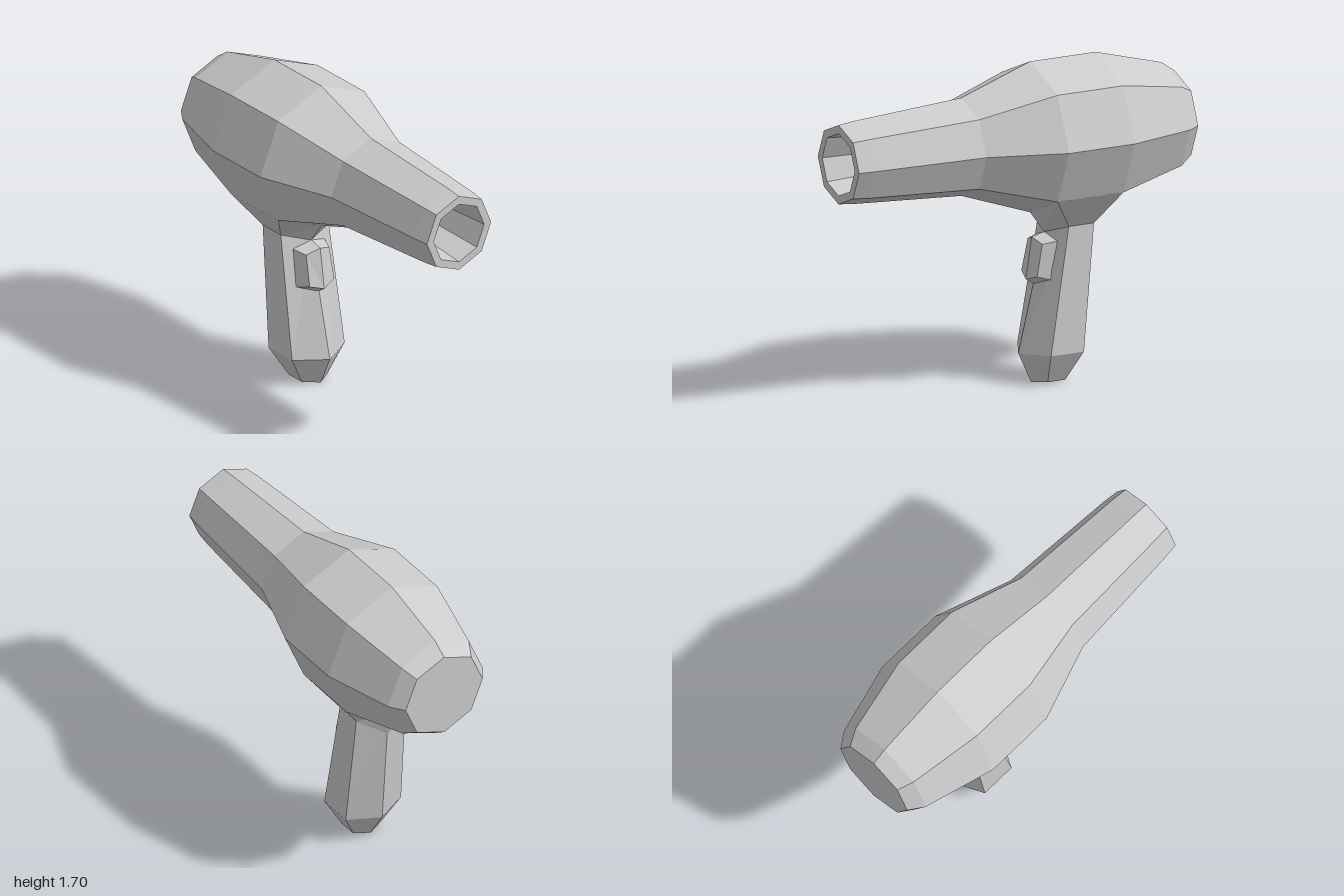
import * as THREE from 'three';

const material = new THREE.MeshStandardMaterial({ color: 0xcccccc, flatShading: true });

function addMesh(group, geometry, name) {
  const mesh = new THREE.Mesh(geometry, material);
  mesh.name = name;
  group.add(mesh);
  return mesh;
}

// Completes a six-sided ring from its centre points and the +x side points.
function hexRing([first, sideA, sideB, last]) {
  const mirror = ([x, y, z]) => [-x, y, z];
  return [first, sideA, sideB, last, mirror(sideB), mirror(sideA)];
}

// Skins consecutive rings, optionally closing either end.
function loft(rings, capStart, capEnd) {
  const positions = [];
  const tri = (a, b, c) => positions.push(...a, ...b, ...c);
  const n = rings[0].length;
  for (let i = 0; i < rings.length - 1; i++) {
    for (let j = 0; j < n; j++) {
      const k = (j + 1) % n;
      tri(rings[i][j], rings[i][k], rings[i + 1][k]);
      tri(rings[i][j], rings[i + 1][k], rings[i + 1][j]);
    }
  }
  const start = rings[0], end = rings[rings.length - 1];
  for (let j = 1; j < n - 1; j++) {
    if (capStart) tri(start[0], start[j + 1], start[j]);
    if (capEnd) tri(end[0], end[j], end[j + 1]);
  }
  const geometry = new THREE.BufferGeometry();
  geometry.setAttribute('position', new THREE.Float32BufferAttribute(positions, 3));
  geometry.computeVertexNormals();
  return geometry;
}

export function createModel() {
  const model = new THREE.Group();
  model.name = 'hairDryer';

  // Octagonal barrel with hollow nozzle: [radius, z] from the back to the cavity floor
  const profile = [
    [0, -1], [0.24, -1], [0.295, -0.92], [0.4, -0.53], [0.4, -0.14],
    [0.26, 0.27], [0.22, 0.91], [0.21, 1], [0.165, 1], [0.13, 0.6], [0, 0.6],
  ].map(([r, z]) => new THREE.Vector2(r, z));
  const barrel = new THREE.LatheGeometry(profile, 8);
  barrel.rotateX(Math.PI / 2);
  addMesh(model, barrel, 'barrel').position.y = 1.3;

  // Handle from the tapered foot up to the flare under the barrel
  const handleRings = [
    [[0, 0, -0.145], [0.085, 0.01, -0.195], [0.085, 0.01, -0.3], [0, 0, -0.335]],
    [[0, 0.16, -0.07], [0.172, 0.17, -0.165], [0.172, 0.17, -0.36], [0, 0.165, -0.44]],
    [[0, 0.785, -0.225], [0.155, 0.84, -0.28], [0.155, 0.84, -0.43], [0, 0.73, -0.485]],
    [[0, 0.9, -0.14], [0.283, 1.017, -0.14], [0.283, 1.017, -0.53], [0, 0.9, -0.53]],
  ].map(hexRing);
  addMesh(model, loft(handleRings, true, false), 'handle');

  // Bevelled trigger, its root sunk slightly into the handle
  const base = [[0, 0.515, -0.165], [0.107, 0.555, -0.205], [0.1, 0.755, -0.24], [0, 0.785, -0.215]];
  const face = [[0, 0.548, -0.115], [0.08, 0.575, -0.135], [0.075, 0.742, -0.17], [0, 0.768, -0.15]];
  const root = base.map(([x, y, z]) => [x, y, z - 0.04]);
  addMesh(model, loft([root, base, face].map(hexRing), true, true), 'trigger');

  return model;
}
